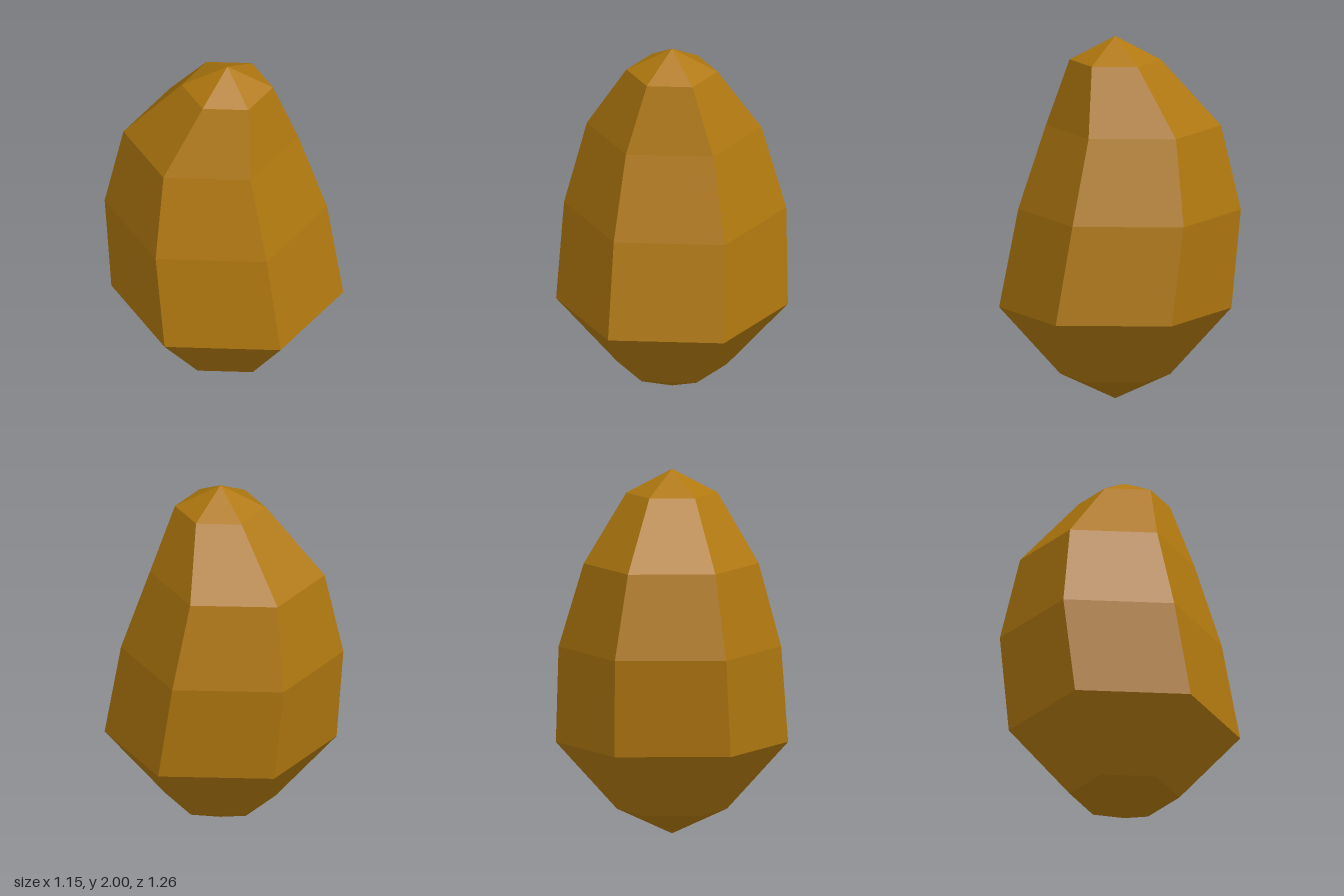
import * as THREE from 'three';

// Hexagonal rings from bottom to top: height, radius, centre x, centre z
const RINGS = [
  [0.005, 0, 0.027, 0],
  [0.14, 0.298, 0.027, 0],
  [0.505, 0.628, 0.027, 0],
  [1.04, 0.602, -0.055, -0.012],
  [1.5, 0.473, -0.083, -0.005],
  [1.87, 0.247, 0.027, 0],
  [2.0, 0, 0.027, 0],
];

export function createModel() {
  const amberBrown = new THREE.MeshStandardMaterial({ color: 0xb0780f });
  amberBrown.name = 'amberBrown';

  // Six-sided lathe, then slide each ring sideways to lean the body
  const profile = RINGS.map(([y, r]) => new THREE.Vector2(r, y));
  const lathe = new THREE.LatheGeometry(profile, 6);
  const pos = lathe.attributes.position;
  for (let i = 0; i < pos.count; i++) {
    const [, , cx, cz] = RINGS[i % RINGS.length];
    pos.setX(i, pos.getX(i) + cx);
    pos.setZ(i, pos.getZ(i) + cz);
  }

  // Separate faces give flat facets
  const geometry = lathe.toNonIndexed();
  geometry.computeVertexNormals();

  const body = new THREE.Mesh(geometry, amberBrown);
  body.name = 'facetedBody';

  const group = new THREE.Group();
  group.name = 'facetedNugget';
  group.add(body);
  return group;
}
